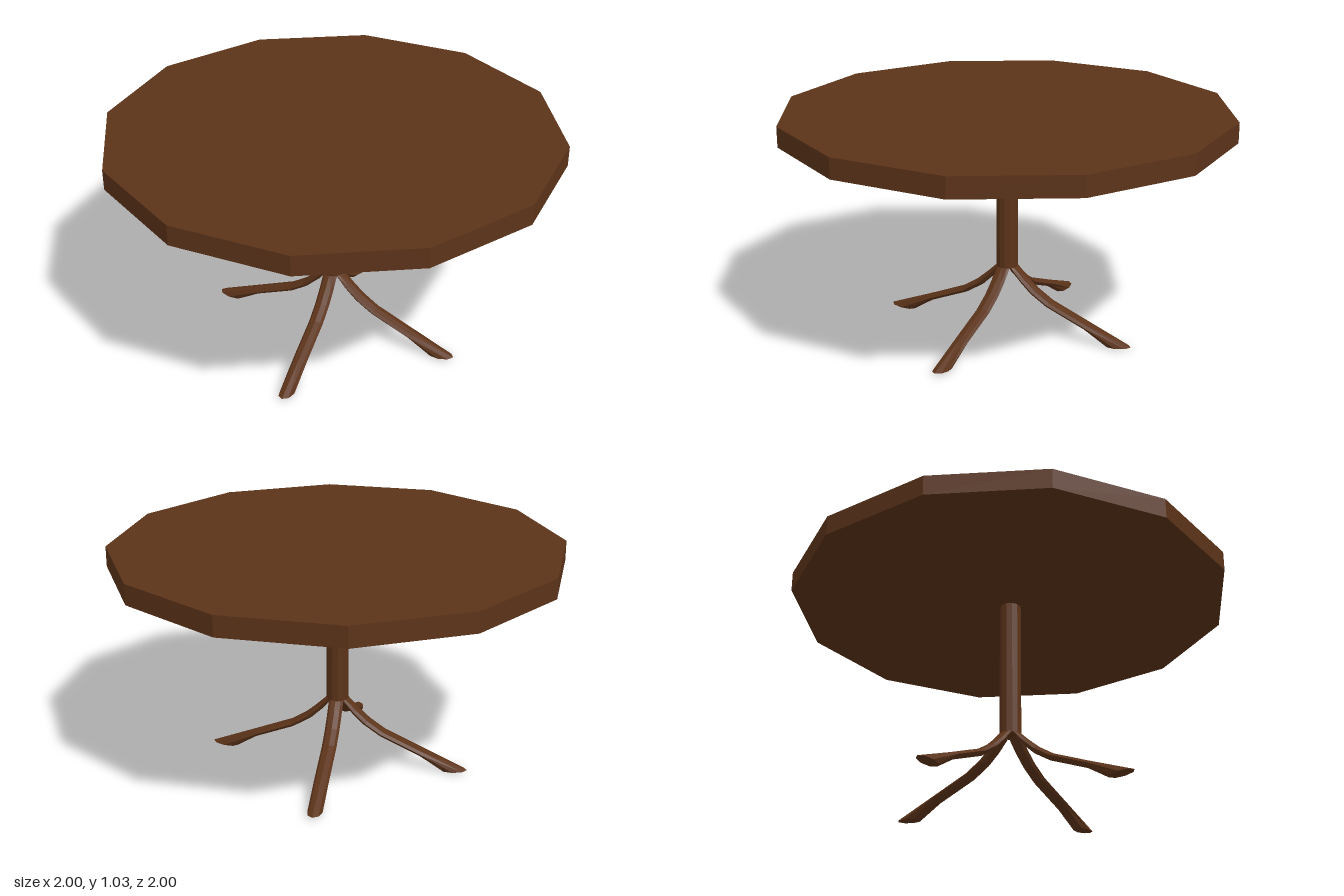
import * as THREE from 'three';

const wood = new THREE.MeshStandardMaterial({ color: 0x5c3319, flatShading: true });

function addMesh(parent, name, geometry) {
  const mesh = new THREE.Mesh(geometry, wood);
  mesh.name = name;
  parent.add(mesh);
  return mesh;
}

// Curved leg running outward along +x, lofted through flattened oval sections.
function legGeometry() {
  const sides = 8, halfWidth = 0.033;
  // radius, height, and the section's half-thickness along radius and height
  const sections = [
    [0.034, 0.303, 0.016, 0],
    [0.084, 0.248, 0.014, 0.009],
    [0.137, 0.2, 0.013, 0.012],
    [0.212, 0.152, 0.009, 0.014],
    [0.395, 0.077, 0.008, 0.014],
    [0.545, 0.006, 0.06, 0.006], // foot, cut flat to the floor
  ];
  const positions = [], index = [];
  for (const [r, y, dr, dy] of sections) {
    for (let i = 0; i < sides; i++) {
      const t = (i / sides) * Math.PI * 2;
      positions.push(r + Math.cos(t) * dr, y + Math.cos(t) * dy, Math.sin(t) * halfWidth);
    }
  }
  const last = (sections.length - 1) * sides;
  for (let i = 0; i < sides; i++) {
    const n = (i + 1) % sides;
    for (let a = 0; a < last; a += sides) {
      index.push(a + i, a + n, a + sides + i, a + n, a + sides + n, a + sides + i);
    }
    // end caps as fans
    if (i > 0 && i < sides - 1) index.push(0, n, i, last, last + i, last + n);
  }
  const geometry = new THREE.BufferGeometry();
  geometry.setAttribute('position', new THREE.Float32BufferAttribute(positions, 3));
  geometry.setIndex(index);
  const flat = geometry.toNonIndexed();
  flat.computeVertexNormals();
  return flat;
}

export function createModel() {
  const table = new THREE.Group();
  table.name = 'pedestalTable';

  // Twelve-sided top
  addMesh(table, 'tableTop', new THREE.CylinderGeometry(1, 1, 0.09, 12)).position.y = 0.985;

  // Central column
  addMesh(table, 'column', new THREE.CylinderGeometry(0.049, 0.049, 0.642, 12)).position.y = 0.621;

  // Four splayed legs, mirrored front to back and side to side
  const leg = legGeometry();
  const splay = 0.83;
  const legs = { frontLeft: -splay, frontRight: splay - Math.PI, backLeft: splay, backRight: Math.PI - splay };
  for (const [corner, angle] of Object.entries(legs)) {
    addMesh(table, corner + 'Leg', leg).rotation.y = angle;
  }
  return table;
}
